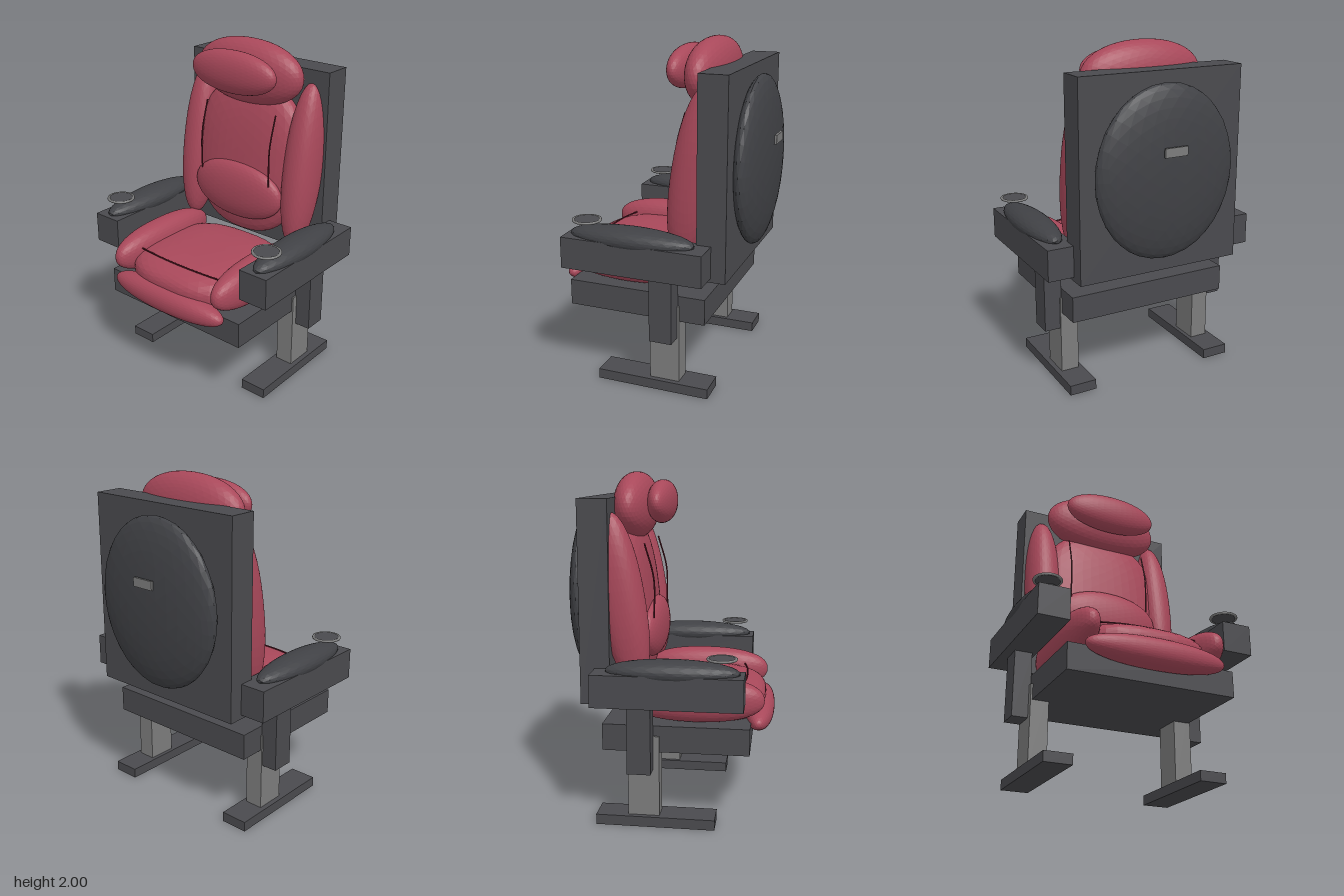
import * as THREE from 'three';

const material = (name, color, flatShading = false) => {
  const m = new THREE.MeshStandardMaterial({ color, flatShading });
  m.name = name;
  return m;
};

export function createModel() {
  const chair = new THREE.Group();
  chair.name = 'recliningSeat';

  const red = material('red upholstery', 0xa8485a, true);
  const seam = material('dark red piping', 0x5a1a26);
  const frame = material('charcoal frame', 0x4a4a4e);
  const pad = material('dark grey padding', 0x404145, true);
  const metal = material('grey metal', 0x7c7c7c);

  const add = (name, geometry, mat, parent = chair) => {
    const mesh = new THREE.Mesh(geometry, mat);
    mesh.name = name;
    parent.add(mesh);
    return mesh;
  };

  // Box given by its min and max on each axis
  const box = (name, mat, [x0, x1], [y0, y1], [z0, z1]) => {
    const mesh = add(name, new THREE.BoxGeometry(x1 - x0, y1 - y0, z1 - z0), mat);
    mesh.position.set((x0 + x1) / 2, (y0 + y1) / 2, (z0 + z1) / 2);
    return mesh;
  };

  // Stuffed cushion: a faceted ball, squarer as the power rises above 2
  const cushion = (name, mat, centre, radii, power = 2, tilt = 0, detail = 7) => {
    const geometry = new THREE.IcosahedronGeometry(1, detail);
    const pos = geometry.attributes.position;
    const v = new THREE.Vector3();
    for (let i = 0; i < pos.count; i++) {
      v.fromBufferAttribute(pos, i);
      const sum = Math.abs(v.x) ** power + Math.abs(v.y) ** power + Math.abs(v.z) ** power;
      v.multiplyScalar(sum ** (-1 / power));
      pos.setXYZ(i, v.x * radii[0], v.y * radii[1], v.z * radii[2]);
    }
    geometry.computeVertexNormals();
    const mesh = add(name, geometry, mat);
    mesh.position.set(...centre);
    mesh.rotation.x = tilt;
    return mesh;
  };

  // Thin piping through a few points
  const piping = (name, points) => {
    const curve = new THREE.CatmullRomCurve3(points.map((p) => new THREE.Vector3(...p)));
    return add(name, new THREE.TubeGeometry(curve, 16, 0.005, 6), seam);
  };

  // Backrest shell with its rear pad and plate
  box('backShell', frame, [-0.51, 0.51], [0.71, 1.86], [-0.47, -0.3]);
  cushion('rearPad', pad, [0, 1.3, -0.505], [0.435, 0.5, 0.095], 2, 0, 5);
  box('rearPlate', metal, [-0.07, 0.07], [1.415, 1.467], [-0.62, -0.606]);

  // Backrest upholstery
  cushion('backCushion', red, [0, 1.27, -0.235], [0.4, 0.48, 0.12], 2.4, -0.11);
  cushion('lumbarCushion', red, [0, 1.08, -0.12], [0.33, 0.18, 0.08], 2.1);
  cushion('headrest', red, [0, 1.805, -0.225], [0.38, 0.195, 0.122], 2.1);
  cushion('headPillow', red, [0, 1.827, -0.07], [0.305, 0.127, 0.08], 2.1);

  // Seat
  box('seatBase', frame, [-0.505, 0.505], [0.44, 0.595], [-0.35, 0.49]);
  cushion('seatCushion', red, [0, 0.67, 0.16], [0.42, 0.13, 0.405], 2.8);
  cushion('seatFrontRoll', red, [0, 0.595, 0.53], [0.42, 0.085, 0.088], 2.2);
  piping('seatPiping', [[-0.31, 0.775, 0.42], [-0.15, 0.783, 0.443], [0, 0.785, 0.45],
    [0.15, 0.783, 0.443], [0.31, 0.775, 0.42]]);

  // Parts on both sides
  for (const [side, s] of [['left', 1], ['right', -1]]) {
    const span = (a, b) => (s > 0 ? [a, b] : [-b, -a]);

    cushion(side + 'BackBolster', red, [s * 0.395, 1.29, -0.245], [0.105, 0.5, 0.13], 2.2, -0.16);
    cushion(side + 'SeatBolster', red, [s * 0.382, 0.73, 0.165], [0.097, 0.135, 0.4], 2.3);
    piping(side + 'BackPiping', [[s * 0.26, 1.6, -0.14], [s * 0.26, 1.4, -0.087],
      [s * 0.26, 1.17, -0.085]]);

    // Armrest, its hanger and pad
    box(side + 'Armrest', frame, span(0.48, 0.665), [0.735, 0.92], [-0.385, 0.46]);
    box(side + 'ArmHanger', frame, span(0.505, 0.61), [0.34, 0.735], [-0.19, -0.055]);
    cushion(side + 'ArmPad', pad, [s * 0.572, 0.93, 0.062], [0.102, 0.07, 0.375], 2, 0, 4);

    // Cup holder
    const holder = new THREE.Group();
    holder.name = side + 'CupHolder';
    holder.position.set(s * 0.57, 1.01, 0.335);
    chair.add(holder);
    add('cupHolderDisc', new THREE.CylinderGeometry(0.076, 0.076, 0.01, 32), frame, holder);
    const rim = add('cupHolderRim', new THREE.TorusGeometry(0.077, 0.008, 8, 32), metal, holder);
    rim.rotation.x = Math.PI / 2;

    // Leg and foot
    box(side + 'Leg', metal, span(0.405, 0.515), [0.05, 0.535], [-0.2, -0.02]);
    box(side + 'Foot', frame, span(0.38, 0.545), [0, 0.06], [-0.385, 0.3]);
  }

  return chair;
}
